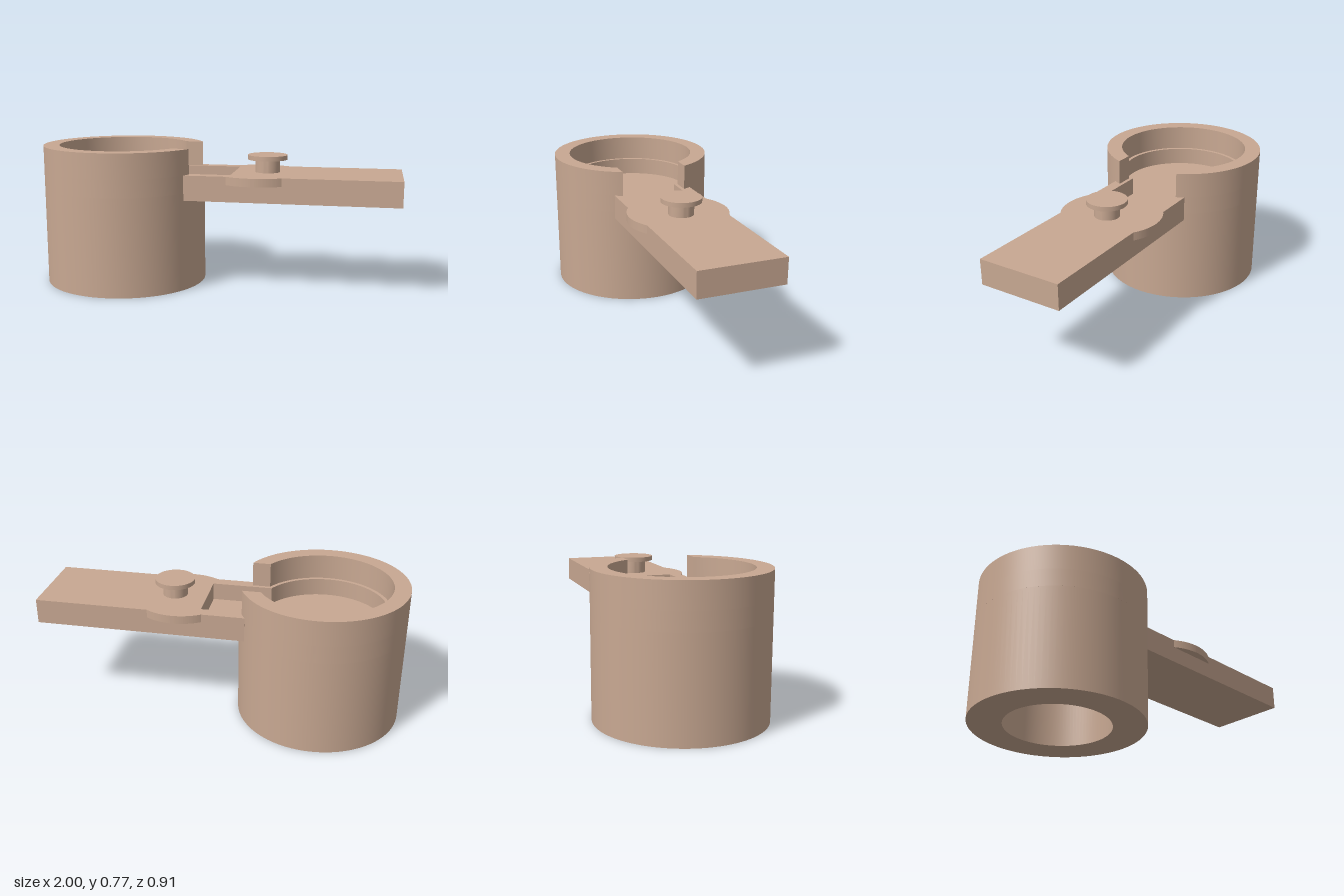
import * as THREE from 'three';
import { toCreasedNormals } from 'three/addons/utils/BufferGeometryUtils.js';

const CUP_X = -0.547, R = 0.453;
const HANDLE_BOTTOM = 0.5, FLOOR = 0.54, HANDLE_TOP = 0.637, RIM = 0.775;

export function createModel() {
  const group = new THREE.Group();
  const material = new THREE.MeshStandardMaterial({ color: 0xc8a892 });

  const add = (name, geometry, x = 0, y = 0) => {
    const mesh = new THREE.Mesh(toCreasedNormals(geometry, 0.6), material);
    mesh.name = name;
    mesh.position.set(x, y, 0);
    group.add(mesh);
  };

  // Extrude a plan outline upwards from y0 to y1
  const slab = (name, shape, y0, y1, x = 0) => {
    const g = new THREE.ExtrudeGeometry(shape, { depth: y1 - y0, bevelEnabled: false, curveSegments: 80 });
    g.rotateX(-Math.PI / 2);
    add(name, g, x, y0);
  };

  // Ring open towards +x, with parallel-sided gap
  const openRing = (inner, halfGap) => {
    const a = Math.asin(halfGap / R), b = Math.asin(halfGap / inner);
    const s = new THREE.Shape();
    s.absarc(0, 0, R, a, Math.PI * 2 - a, false);
    s.absarc(0, 0, inner, Math.PI * 2 - b, b, true);
    s.closePath();
    return s;
  };

  // Cup base, hollow from below, closed by the bowl floor
  const profile = [[0, 0.5], [0.277, 0.5], [0.277, 0], [R, 0], [R, FLOOR], [0, FLOOR]];
  add('cupBody', new THREE.LatheGeometry(profile.map(p => new THREE.Vector2(...p)), 96), CUP_X);

  // Bowl wall in two steps, leaving a narrow ledge inside
  slab('bowlWall', openRing(0.345, 0.165), FLOOR, HANDLE_TOP, CUP_X);
  slab('rimWall', openRing(0.365, 0.185), HANDLE_TOP, RIM, CUP_X);

  // Handle plate with a channel leading out of the bowl
  const plate = new THREE.Shape([
    [-0.155, 0.228], [-0.155, 0.165], [0.09, 0.165], [0.09, -0.165],
    [-0.155, -0.165], [-0.155, -0.228], [1, -0.228], [1, 0.228],
  ].map(p => new THREE.Vector2(...p)));
  slab('handlePlate', plate, HANDLE_BOTTOM, HANDLE_TOP);
  const floorH = FLOOR - HANDLE_BOTTOM;
  add('channelFloor', new THREE.BoxGeometry(0.245, floorH, 0.33), -0.0325, HANDLE_BOTTOM + floorH / 2);

  // Rounded lobes on both sides of the handle
  const lobeAngle = Math.asin(0.228 / 0.272);
  for (const [name, turn] of [['backLobe', 0], ['frontLobe', Math.PI]]) {
    const lobe = new THREE.Shape();
    lobe.absarc(0, 0, 0.272, turn + lobeAngle, turn + Math.PI - lobeAngle, false);
    lobe.closePath();
    slab(name, lobe, 0.592, HANDLE_TOP, 0.225);
  }

  // Pivot knob
  add('knobStem', new THREE.CylinderGeometry(0.068, 0.068, 0.071, 48), 0.27, 0.6725);
  add('knobCap', new THREE.CylinderGeometry(0.109, 0.109, 0.025, 64), 0.27, 0.7195);

  return group;
}
